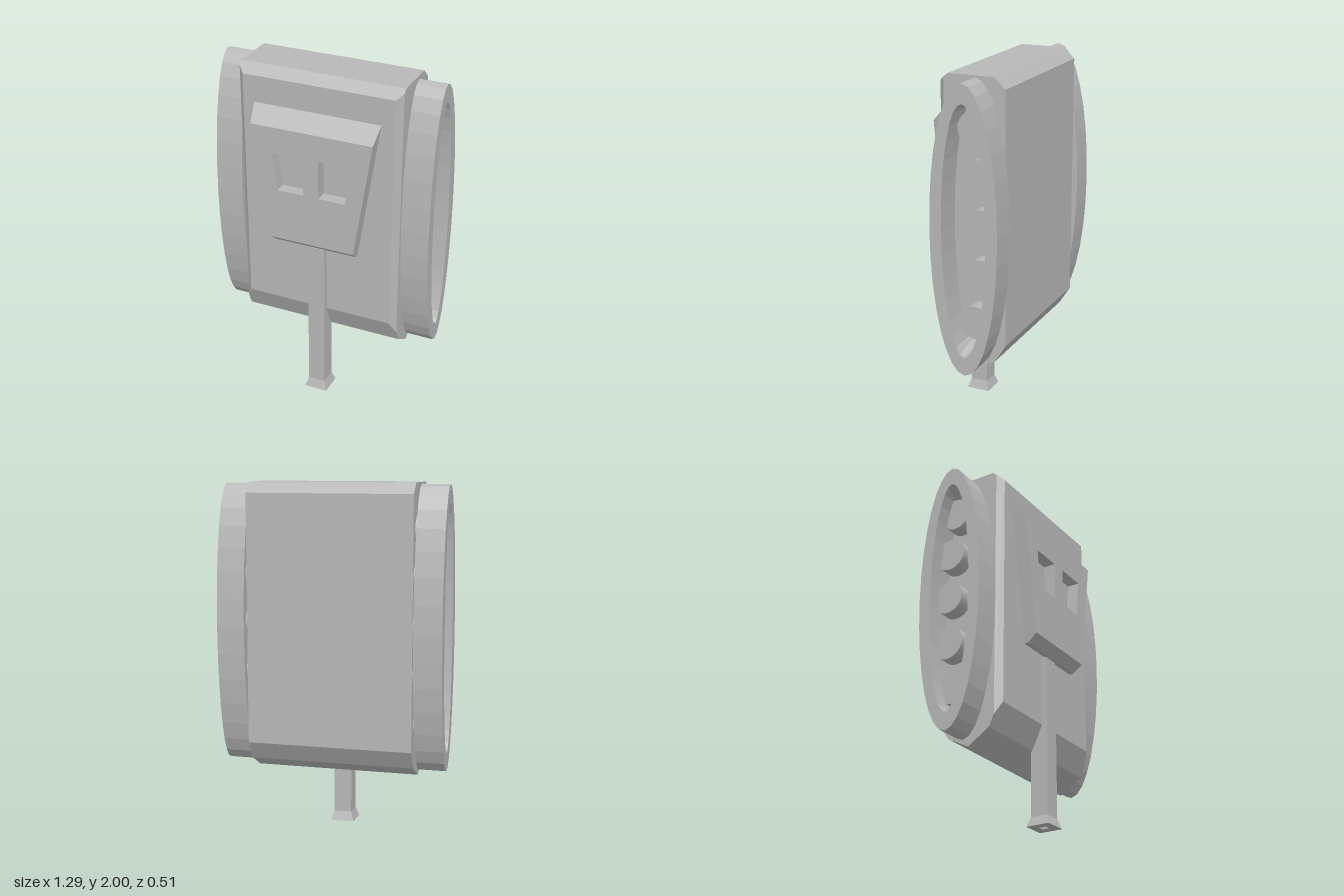
import * as THREE from 'three';
import { ConvexGeometry } from 'three/addons/geometries/ConvexGeometry.js';

const grey = new THREE.MeshStandardMaterial({ color: 0xb8b8b8 });
grey.name = 'grey';

// Give every face its own flat normal
function flat(geometry) {
  const g = geometry.index ? geometry.toNonIndexed() : geometry;
  g.computeVertexNormals();
  return g;
}

function part(parent, name, geometry) {
  const mesh = new THREE.Mesh(geometry, grey);
  mesh.name = name;
  parent.add(mesh);
  return mesh;
}

// Hull: side profile (z, y) with chamfered long edges at the front
function hullGeometry() {
  const side = [[0.13, 1.979], [0.105, 2], [-0.16, 2], [-0.225, 1.94], [-0.225, 0.52],
    [-0.16, 0.415], [-0.03, 0.345], [0.1, 0.43], [0.13, 0.495]];
  const front = [[0.165, 0.57], [0.165, 1.95]];
  const points = [];
  for (const s of [-1, 1]) {
    for (const [z, y] of side) points.push(new THREE.Vector3(s * 0.475, y, z));
    for (const [z, y] of front) points.push(new THREE.Vector3(s * 0.44, y, z));
  }
  return flat(new ConvexGeometry(points));
}

// Track: elliptical band whose opening narrows at the inner ends
function trackGeometry() {
  const N = 32, positions = [], index = [];
  const rings = [[0.485, 0.197, 0.803, 9], [0.645, 0.197, 0.803, 9],
    [0.645, 0.128, 0.698, 9], [0.485, 0.128, 0.698, 0.645]];
  for (const [x, rz, ry, limit] of rings) {
    for (let i = 0; i < N; i++) {
      const a = i / N * Math.PI * 2;
      positions.push(x, THREE.MathUtils.clamp(ry * Math.cos(a), -limit, limit), rz * Math.sin(a));
    }
  }
  for (let k = 0; k < 4; k++) {
    const k2 = (k + 1) % 4;
    for (let i = 0; i < N; i++) {
      const j = (i + 1) % N;
      const a = k * N + i, b = k2 * N + i, c = k2 * N + j, d = k * N + j;
      index.push(a, d, c, a, c, b);
    }
  }
  const g = new THREE.BufferGeometry();
  g.setAttribute('position', new THREE.Float32BufferAttribute(positions, 3));
  g.setIndex(index);
  return flat(g);
}

// Turret: tapered plate with two recesses, sloped at the top and bottom edges
function turretGeometry() {
  const top = 1.8, bottom = 0.985, back = 0.173, depth = 0.082;
  const halfWidth = y => 0.245 + (y - bottom) / (top - bottom) * 0.125;
  const v = (x, y) => new THREE.Vector2(x, y);
  const shape = new THREE.Shape([v(-0.245, bottom), v(0.245, bottom), v(0.37, top), v(-0.37, top)]);
  for (const s of [-1, 1]) {
    shape.holes.push(new THREE.Path([v(s * 0.045, 1.335), v(s * 0.045, 1.56),
      v(s * 0.232, 1.56), v(s * 0.203, 1.335)]));
  }
  const g = new THREE.ExtrudeGeometry(shape, { depth, steps: 3, bevelEnabled: false });
  const p = g.attributes.position;
  for (let i = 0; i < p.count; i++) {
    const t = p.getZ(i) / depth, y = p.getY(i);
    let newY = y;
    if (y > 1.75) newY = top - 0.09 * t;
    else if (y < 1.1) newY = bottom + 0.045 * Math.max(0, (t - 1 / 3) * 1.5);
    if (newY !== y) p.setXY(i, Math.sign(p.getX(i)) * halfWidth(newY), newY);
  }
  g.translate(0, 0, back);
  return flat(g);
}

// Gun: square barrel with a flared, hollow muzzle
function gunGeometry() {
  const profile = [[0, 0.08], [0.02, 0.08], [0.02, 0], [0.069, 0], [0.051, 0.055], [0.051, 0.977], [0, 0.977]]
    .map(([r, y]) => new THREE.Vector2(r * Math.SQRT2, y));
  return flat(new THREE.LatheGeometry(profile, 4, Math.PI / 4));
}

export function createModel() {
  const model = new THREE.Group();
  model.name = 'upendedTank';

  part(model, 'hull', hullGeometry());
  part(model, 'turret', turretGeometry());
  part(model, 'gun', gunGeometry()).position.z = 0.142;

  // Floors of the turret recesses
  for (const s of [-1, 1]) {
    part(model, 'hatchFloor', new THREE.BoxGeometry(0.195, 0.235, 0.008)).position.set(s * 0.138, 1.4475, 0.18);
  }

  // Tracks with five road wheels on each side
  const track = trackGeometry();
  const wheel = new THREE.CylinderGeometry(0.095, 0.095, 0.095, 32).rotateZ(Math.PI / 2);
  const wheelSpots = [[1.74, -0.087], [1.485, -0.12], [1.215, -0.127], [0.935, -0.12], [0.665, -0.087]];
  for (const s of [-1, 1]) {
    const sideName = s > 0 ? 'left' : 'right';
    const band = part(model, sideName + 'Track', track);
    band.position.set(0, 1.188, -0.058);
    if (s < 0) band.rotation.y = Math.PI;
    const wheels = new THREE.Group();
    wheels.name = sideName + 'Wheels';
    for (const [y, z] of wheelSpots) part(wheels, 'roadWheel', wheel).position.set(s * 0.5125, y, z);
    model.add(wheels);
  }
  return model;
}
